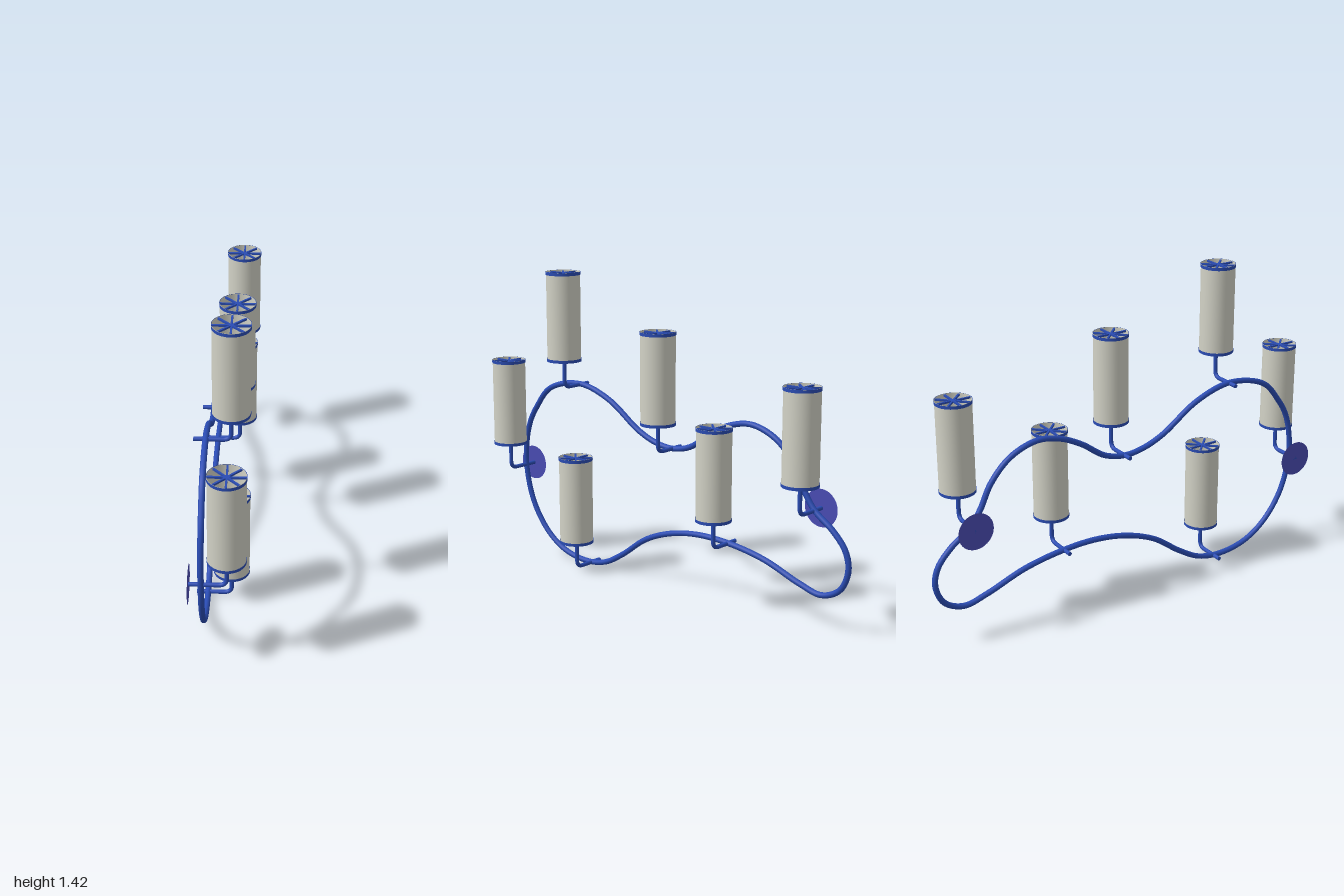
import * as THREE from 'three';

const blue = new THREE.MeshStandardMaterial({ color: 0x2a4cb4, side: THREE.DoubleSide });
const violet = new THREE.MeshStandardMaterial({ color: 0x4a4cb4, side: THREE.DoubleSide });
const fabric = new THREE.MeshStandardMaterial({ color: 0xd2d2c6, side: THREE.DoubleSide });

const RAIL_X = -0.07, BACK_X = -0.12, SHADE_X = 0.035;
const SHADE_R = 0.079, SHADE_H = 0.415, SHADE_LIFT = 0.125, TUBE_R = 0.012;

function add(parent, name, geometry, material, x = 0, y = 0, z = 0) {
  const mesh = new THREE.Mesh(geometry, material);
  mesh.name = name;
  mesh.position.set(x, y, z);
  parent.add(mesh);
  return mesh;
}

// One lamp: bent arm, open shade, trim bands and a spoked top
function makeLamp(y, z, hasPlate) {
  const lamp = new THREE.Group();
  lamp.name = 'lamp';
  lamp.position.set(0, y, z);

  // Arm runs out from the wall and turns up into the shade
  const bend = 0.035;
  const path = new THREE.CurvePath();
  const corner = new THREE.Vector3(SHADE_X, 0, 0);
  const a = new THREE.Vector3(SHADE_X - bend, 0, 0);
  const b = new THREE.Vector3(SHADE_X, bend, 0);
  path.add(new THREE.LineCurve3(new THREE.Vector3(BACK_X, 0, 0), a));
  path.add(new THREE.QuadraticBezierCurve3(a, corner, b));
  path.add(new THREE.LineCurve3(b, new THREE.Vector3(SHADE_X, SHADE_LIFT + 0.02, 0)));
  add(lamp, 'arm', new THREE.TubeGeometry(path, 40, 0.0095, 12), blue);
  const capTop = add(lamp, 'armTip', new THREE.CircleGeometry(0.0095, 12), blue,
    SHADE_X, SHADE_LIFT + 0.02, 0);
  capTop.rotation.x = -Math.PI / 2;
  const capBack = add(lamp, 'armEnd', new THREE.CircleGeometry(0.0095, 12), blue, BACK_X, 0, 0);
  capBack.rotation.y = -Math.PI / 2;

  // Open cylindrical shade with a band at each rim
  add(lamp, 'shade', new THREE.CylinderGeometry(SHADE_R - 0.001, SHADE_R - 0.001, SHADE_H, 40, 1, true),
    fabric, SHADE_X, SHADE_LIFT + SHADE_H / 2, 0);
  const top = SHADE_LIFT + SHADE_H;
  for (const [name, cy] of [['lowerBand', SHADE_LIFT + 0.007], ['upperBand', top - 0.007]]) {
    add(lamp, name, new THREE.CylinderGeometry(SHADE_R + 0.001, SHADE_R + 0.001, 0.014, 40, 1, true),
      blue, SHADE_X, cy, 0);
  }

  // Four crossing bars make eight spokes
  for (let i = 0; i < 4; i++) {
    const bar = add(lamp, 'spoke', new THREE.BoxGeometry(SHADE_R * 2, 0.008, 0.008),
      blue, SHADE_X, top - 0.007, 0);
    bar.rotation.y = (i * Math.PI) / 4;
  }

  // Round wall plate
  if (hasPlate) {
    const plate = add(lamp, 'wallPlate', new THREE.CircleGeometry(0.083, 40), violet, BACK_X, 0, 0);
    plate.rotation.y = -Math.PI / 2;
  }
  return lamp;
}

export function createModel() {
  const model = new THREE.Group();
  model.name = 'wallLight';

  // Wavy closed rail, listed as [z, y]
  const rail = [
    [0.92, 0.43], [0.912, 0.56], [0.885, 0.655], [0.84, 0.73], [0.745, 0.835], [0.545, 0.882],
    [0.357, 0.83], [0.17, 0.71], [0.06, 0.668], [-0.035, 0.658], [-0.137, 0.682], [-0.26, 0.765],
    [-0.367, 0.815], [-0.48, 0.832], [-0.61, 0.786], [-0.705, 0.69], [-0.76, 0.583], [-0.81, 0.515],
    [-0.905, 0.444], [-0.968, 0.37], [-0.985, 0.289], [-0.947, 0.198], [-0.855, 0.155],
    [-0.743, 0.18], [-0.555, 0.246], [-0.357, 0.28], [-0.18, 0.284], [-0.02, 0.257],
    [0.13, 0.198], [0.276, 0.095], [0.39, 0.033], [0.517, 0.014], [0.667, 0.043],
    [0.785, 0.123], [0.877, 0.257],
  ].map(([z, y]) => new THREE.Vector3(RAIL_X, y, z));
  add(model, 'rail', new THREE.TubeGeometry(
    new THREE.CatmullRomCurve3(rail, true, 'centripetal'), 240, TUBE_R + 0.001, 12, true), blue);

  // Lamps as [arm height, z, has wall plate]
  for (const [y, z, plate] of [
    [0.43, 0.918, true], [0.88, 0.54, false], [0.66, -0.037, false],
    [0.515, -0.808, true], [0.28, -0.355, false], [0.016, 0.475, false],
  ]) model.add(makeLamp(y, z, plate));

  return model;
}
